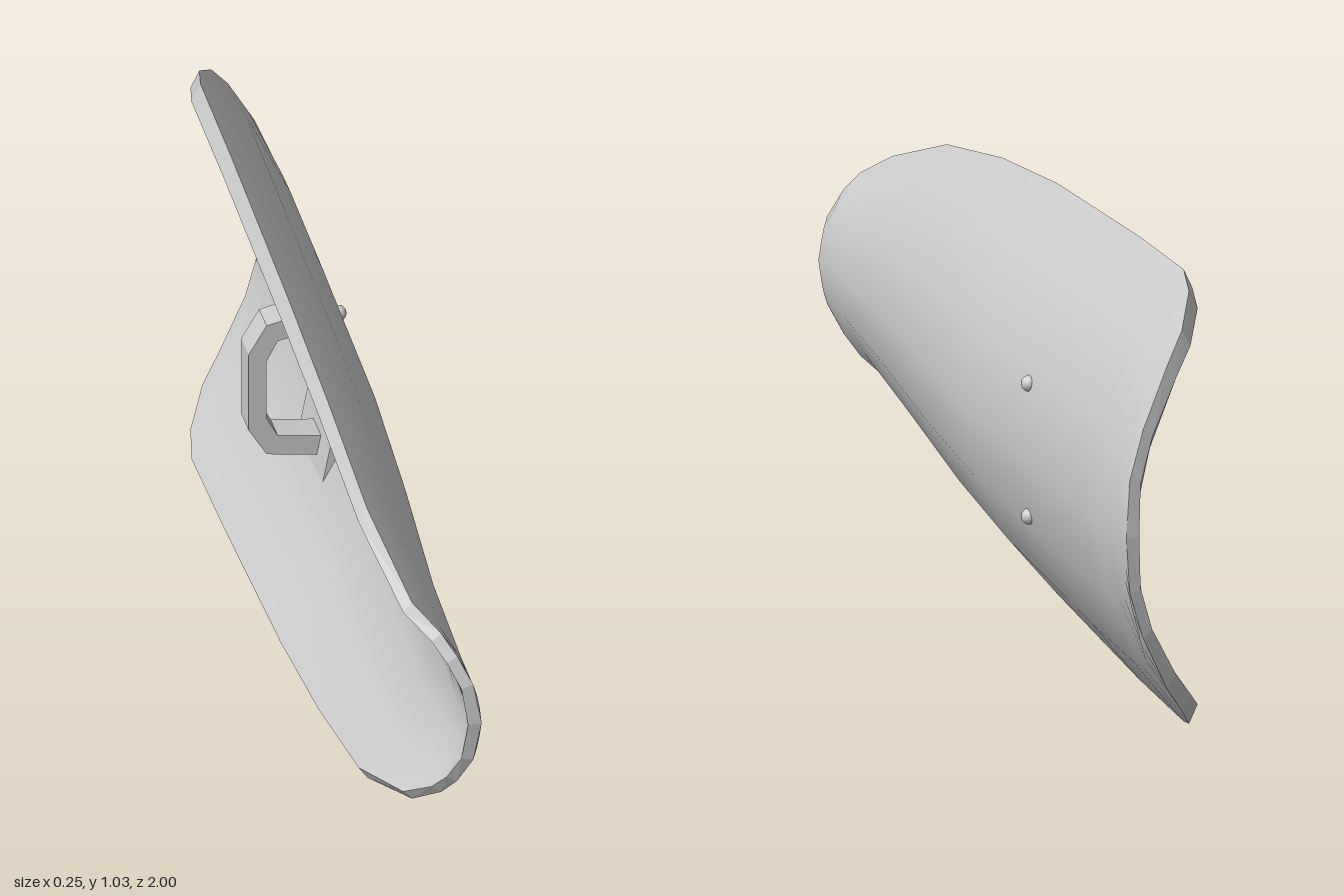
import * as THREE from 'three';

const CY = 0.52; // height of the long axis
// stations along the shield: [z, half height, centre x, rim x]
const STATIONS = [
  [-1, 0, 0.11, 0.11], [-0.995, 0.13, 0.113, 0.1], [-0.985, 0.24, 0.117, 0.065],
  [-0.96, 0.37, 0.12, 0.0], [-0.93, 0.435, 0.123, -0.045], [-0.85, 0.495, 0.125, -0.092],
  [-0.77, 0.517, 0.125, -0.11], [-0.5, 0.507, 0.122, -0.11], [0, 0.47, 0.115, -0.11],
  [0.33, 0.425, 0.095, -0.107], [0.65, 0.355, 0.07, -0.1], [0.88, 0.26, 0.067, -0.06],
  [0.94, 0.21, 0.066, -0.01], [0.97, 0.165, 0.066, 0.018], [0.992, 0.1, 0.065, 0.048],
  [1, 0, 0.065, 0.065],
];
const ACROSS = [-1, -0.71, -0.37, 0, 0.37, 0.71, 1];

function material(flat = false) {
  return new THREE.MeshStandardMaterial({ color: 0xcccccc, flatShading: flat });
}

// point on the convex (outer) face, u runs from -1 (lower rim) to 1 (upper rim)
function outer([z, h, xc, xr], u) {
  return [xc + (xr - xc) * u * u, CY + h * u, z];
}

// point on the hollow (inner) face, drawn in towards the axis at the rim
function inner([z, h, xc, xr], u) {
  const thick = 0.03 - 0.01 * u * u * Math.min(1, h / 0.25);
  return [xc + (xr - xc) * u * u - thick, CY + h * 0.915 * u, z];
}

// surface from rows of points; it faces (column direction) x (row direction)
function skin(rows) {
  const n = rows[0].length, index = [];
  for (let i = 0; i < rows.length - 1; i++) {
    for (let j = 0; j < n - 1; j++) {
      const a = i * n + j, b = a + 1, c = a + n, d = c + 1;
      index.push(a, b, c, b, d, c);
    }
  }
  const g = new THREE.BufferGeometry();
  g.setAttribute('position', new THREE.Float32BufferAttribute(rows.flat(2), 3));
  g.setIndex(index);
  g.computeVertexNormals();
  return g;
}

// flat outline in x and y given as upper half, mirrored about the axis, thick in z
function mirroredSlab(half, z, depth) {
  const pts = [...half, ...half.map(([x, dy]) => [x, -dy]).reverse()];
  const shape = new THREE.Shape(pts.map(([x, dy]) => new THREE.Vector2(x, CY + dy)));
  const g = new THREE.ExtrudeGeometry(shape, { depth, bevelEnabled: false });
  return g.translate(0, 0, z - depth / 2);
}

export function createModel() {
  const group = new THREE.Group();
  const add = (name, geometry, flat) => {
    const mesh = new THREE.Mesh(geometry, material(flat));
    mesh.name = name;
    group.add(mesh);
    return mesh;
  };

  // curved shell
  add('outerFace', skin(STATIONS.map(s => ACROSS.map(u => outer(s, u)))));
  add('innerFace', skin(STATIONS.map(s => ACROSS.map(u => inner(s, -u)))));
  add('upperRim', skin(STATIONS.map(s => [outer(s, 1), inner(s, 1)])), true);
  add('lowerRim', skin(STATIONS.map(s => [inner(s, -1), outer(s, -1)])), true);

  // folded backing plate that follows the hollow side
  const plate = [[0.073, 0], [0.032, 0.22], [0.055, 0.22], [0.096, 0]];
  const plateShape = new THREE.Shape([
    ...plate, [0.055, -0.22], [0.032, -0.22],
  ].map(([x, dy]) => new THREE.Vector2(x, CY + dy)));
  const plateGeo = new THREE.ExtrudeGeometry(plateShape, { depth: 0.21, bevelEnabled: false });
  add('handlePlate', plateGeo.translate(0, 0, -0.47), true);

  // grip bent from a flat bar
  const barOuter = [[0.07, 0.195], [-0.01, 0.183], [-0.075, 0.17], [-0.115, 0.1]];
  const barInner = [[-0.075, 0.075], [-0.05, 0.125], [0.01, 0.136], [0.07, 0.145]];
  const outline = [
    ...barOuter, ...barOuter.map(([x, y]) => [x, -y]).reverse(),
    ...barInner.map(([x, y]) => [x, -y * 1]), ...[...barInner].reverse(),
  ];
  // inner edge runs out along the lower arm first, then back up the upper arm
  const lower = barInner.map(([x, y]) => [x, -y]).reverse();
  const grip = new THREE.Shape([...outline.slice(0, 8), ...lower, ...barInner]
    .map(([x, dy]) => new THREE.Vector2(x, CY + dy)));
  const gripGeo = new THREE.ExtrudeGeometry(grip, { depth: 0.065, bevelEnabled: false });
  add('grip', gripGeo.translate(0, 0, -0.395), true);

  // rivets through the shell at the ends of the grip
  for (const side of [-1, 1]) {
    const rivet = add(side > 0 ? 'upperRivet' : 'lowerRivet', new THREE.SphereGeometry(0.018, 12, 8));
    rivet.position.set(0.094, CY + side * 0.152, -0.363);
  }
  return group;
}
